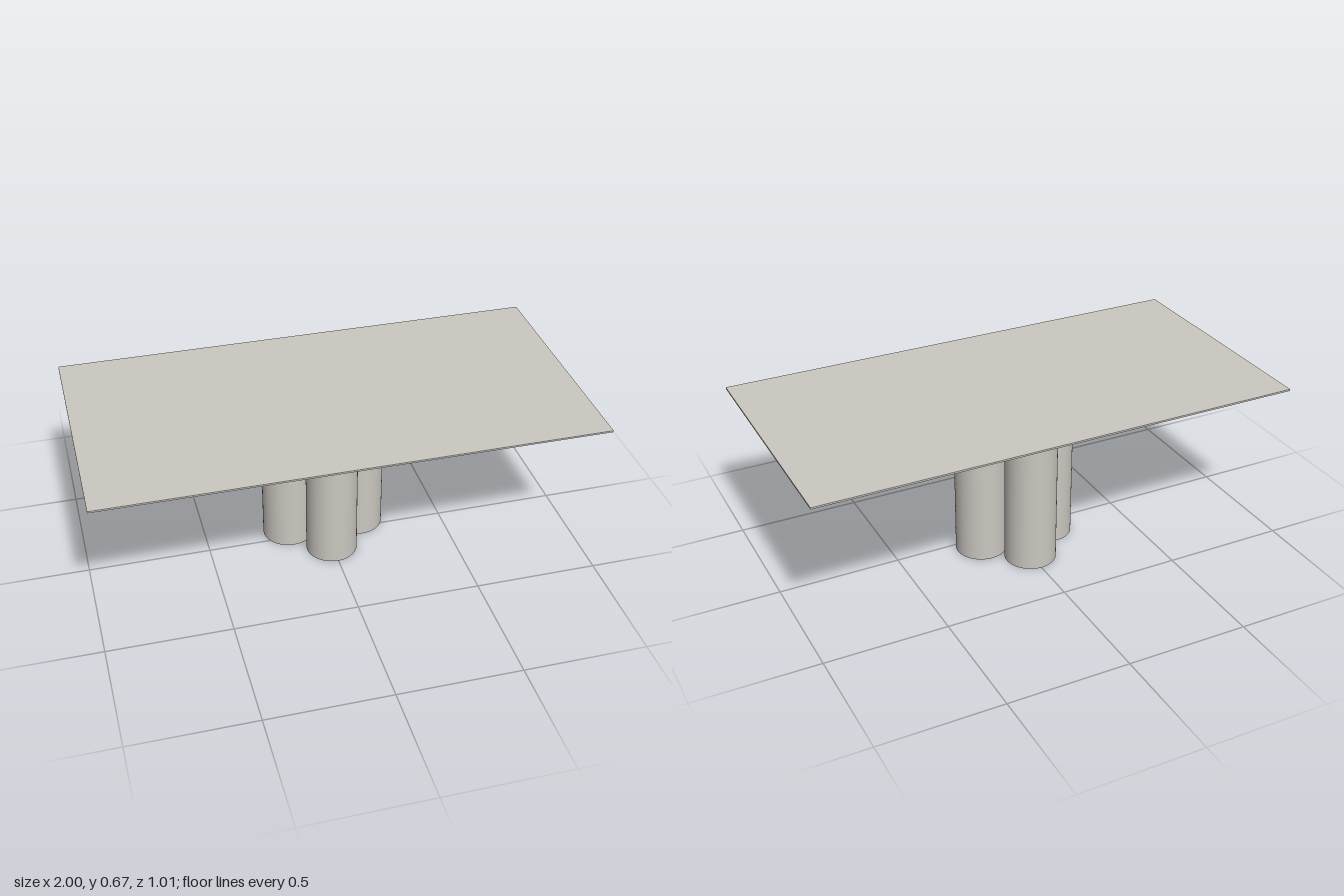
import * as THREE from 'three';

export function createModel() {
  const group = new THREE.Group();
  const stone = new THREE.MeshStandardMaterial({ color: 0xcbc7c0 });
  stone.name = 'warm grey';

  const underside = 0.63, lip = 0.664, top = 0.671;

  // Table top: a slab with a thin upright lip and a chamfered underside
  const levels = [
    { y: underside, x: 0.917, z: 0.427 },
    { y: lip, x: 1, z: 0.507 },
    { y: top, x: 1, z: 0.507 },
  ];
  const box = new THREE.BoxGeometry(2, 2, 2, 1, 2, 1);
  const pos = box.attributes.position;
  for (let i = 0; i < pos.count; i++) {
    const level = levels[Math.round(pos.getY(i)) + 1];
    pos.setXYZ(i, Math.sign(pos.getX(i)) * level.x, level.y, Math.sign(pos.getZ(i)) * level.z);
  }
  const slab = box.toNonIndexed();
  slab.computeVertexNormals();
  const tableTop = new THREE.Mesh(slab, stone);
  tableTop.name = 'tableTop';
  group.add(tableTop);

  // Pedestal: four touching round columns in a diamond, set slightly back
  const pedestal = new THREE.Group();
  pedestal.name = 'pedestal';
  pedestal.position.set(-0.002, 0, -0.053);
  const column = new THREE.CylinderGeometry(0.105, 0.105, underside, 64);
  ['leftColumn', 'frontColumn', 'rightColumn', 'backColumn'].forEach((name, i) => {
    const angle = (i * Math.PI) / 2;
    const mesh = new THREE.Mesh(column, stone);
    mesh.name = name;
    mesh.position.set(Math.cos(angle) * 0.15, underside / 2, Math.sin(angle) * 0.15);
    pedestal.add(mesh);
  });
  group.add(pedestal);

  return group;
}
